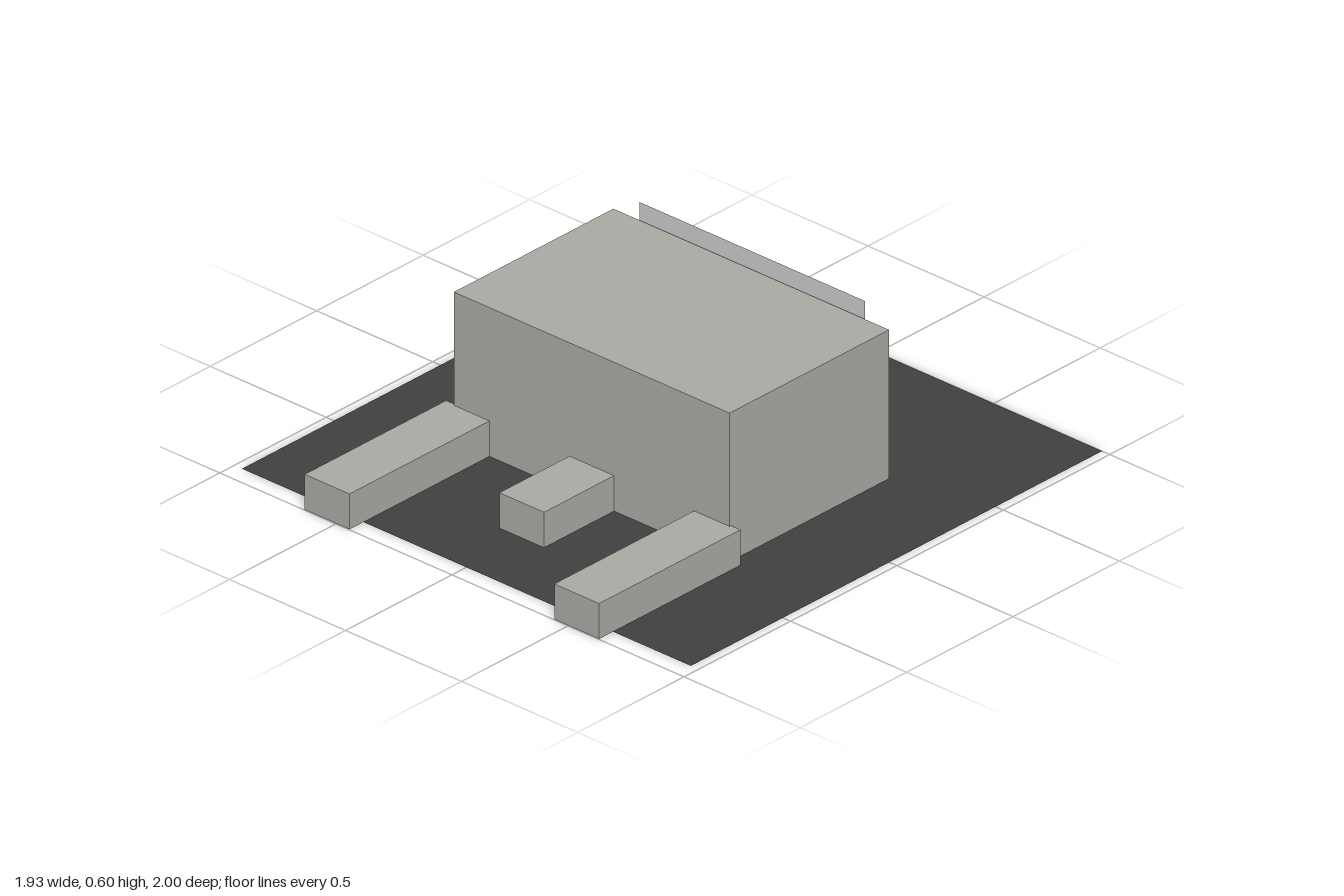
import * as THREE from 'three';

function material(name, color, side = THREE.FrontSide) {
  const m = new THREE.MeshStandardMaterial({ color, side });
  m.name = name;
  return m;
}

export function createModel() {
  const model = new THREE.Group();
  model.name = 'building';

  const concrete = material('concrete', 0xa8a9a3);
  const asphalt = material('asphalt', 0x404040, THREE.DoubleSide);
  const panel = material('light panel', 0xc8c8ca, THREE.DoubleSide);
  const glass = material('blue glass', 0x4b799b, THREE.DoubleSide);

  // Box given by its limits on each axis
  function block(name, [x0, x1], [y0, y1], [z0, z1]) {
    const mesh = new THREE.Mesh(new THREE.BoxGeometry(x1 - x0, y1 - y0, z1 - z0), concrete);
    mesh.position.set((x0 + x1) / 2, (y0 + y1) / 2, (z0 + z1) / 2);
    mesh.name = name;
    model.add(mesh);
  }

  // Thin sheet facing the back (-z)
  function backSheet(name, mat, [x0, x1], [y0, y1], z) {
    const mesh = new THREE.Mesh(new THREE.PlaneGeometry(x1 - x0, y1 - y0), mat);
    mesh.rotation.y = Math.PI;
    mesh.position.set((x0 + x1) / 2, (y0 + y1) / 2, z);
    mesh.name = name;
    model.add(mesh);
  }

  // Ground sheet
  const ground = new THREE.Mesh(new THREE.PlaneGeometry(1.934, 1.932), asphalt);
  ground.rotation.x = -Math.PI / 2;
  ground.position.z = -0.034;
  ground.name = 'groundSheet';
  model.add(ground);

  // Main hall, its base just clear of the ground sheet
  const base = 0.002;
  block('hall', [-0.594, 0.594], [base, 0.54], [-0.406, 0.343]);

  // Low wings at the front
  block('leftWing', [0.441, 0.634], [base, 0.13], [0.336, 1]);
  block('rightWing', [-0.634, -0.441], [base, 0.13], [0.336, 1]);
  block('middleWing', [-0.096, 0.096], [base, 0.13], [0.336, 0.672]);

  // Rear glazing, the sign panel above it and two slim posts
  backSheet('rearWindow', glass, [-0.485, 0.485], [0.115, 0.41], -0.4085);
  backSheet('rearSignPanel', panel, [-0.485, 0.485], [0.392, 0.602], -0.411);
  for (const side of [-1, 1]) {
    const x = side * 0.437;
    backSheet(side > 0 ? 'leftPost' : 'rightPost', panel, [x - 0.013, x + 0.013], [0.135, 0.4], -0.411);
  }

  return model;
}
